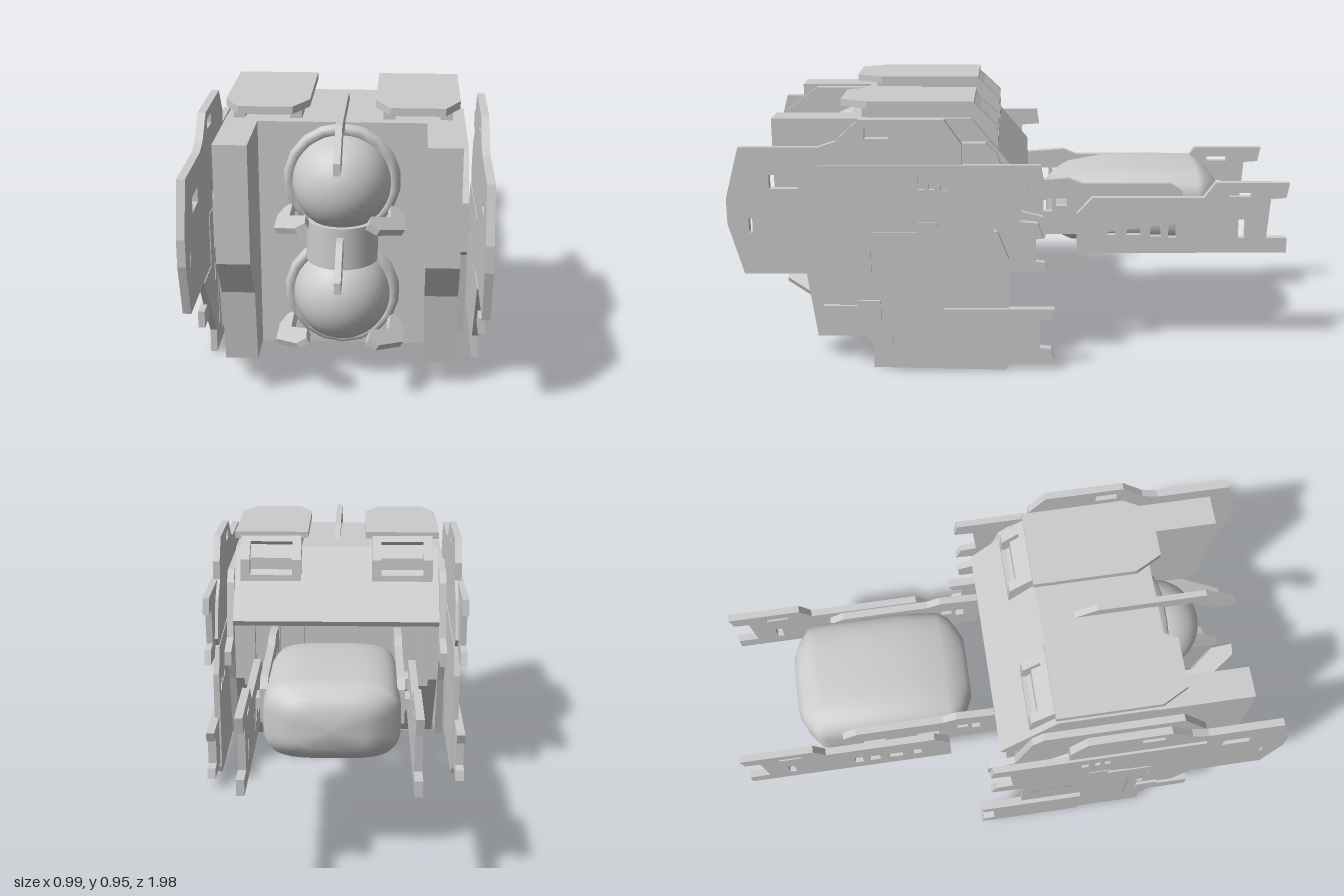
import * as THREE from 'three';

const mat = new THREE.MeshStandardMaterial({ color: 0xcccccc });

function add(parent, name, geo) {
  const m = new THREE.Mesh(geo, mat);
  m.name = name;
  parent.add(m);
  return m;
}

// Shape drawn in (z, y) and extruded along x between x0 and x1; holes are [z, y, width, height]
function slab(points, x0, x1, holes = []) {
  const shape = new THREE.Shape(points.map(([z, y]) => new THREE.Vector2(z, y)));
  for (const [z, y, w, h] of holes) {
    const a = w / 2, b = h / 2;
    shape.holes.push(new THREE.Path([[z - a, y - b], [z - a, y + b], [z + a, y + b], [z + a, y - b]]
      .map(([u, v]) => new THREE.Vector2(u, v))));
  }
  return new THREE.ExtrudeGeometry(shape, { depth: x1 - x0, bevelEnabled: false })
    .rotateY(-Math.PI / 2).translate(x1, 0, 0);
}

// The same slab on both sides of the model
function pair(parent, name, points, x0, x1, holes) {
  add(parent, name + 'Left', slab(points, x0, x1, holes));
  add(parent, name + 'Right', slab(points, -x1, -x0, holes));
}

function box(x0, x1, y0, y1, z0, z1) {
  return new THREE.BoxGeometry(x1 - x0, y1 - y0, z1 - z0)
    .translate((x0 + x1) / 2, (y0 + y1) / 2, (z0 + z1) / 2);
}

function boxPair(parent, name, x0, x1, ...rest) {
  add(parent, name + 'Left', box(x0, x1, ...rest));
  add(parent, name + 'Right', box(-x1, -x0, ...rest));
}

// Rounded body lofted along -z from sections [z, halfWidth, yLow, yHigh]
function loft(sections, n = 48, power = 0.55) {
  const pos = [], idx = [];
  const bend = v => Math.sign(v) * Math.abs(v) ** power;
  sections.forEach(([z, hw, lo, hi], i) => {
    for (let j = 0; j < n; j++) {
      const t = j / n * Math.PI * 2;
      pos.push(hw * bend(Math.cos(t)), (lo + hi) / 2 + (hi - lo) / 2 * bend(Math.sin(t)), z);
      if (i === 0) continue;
      const k = (j + 1) % n, a = (i - 1) * n + j, b = (i - 1) * n + k, c = i * n + j, d = i * n + k;
      idx.push(a, c, b, b, c, d);
    }
  });
  const g = new THREE.BufferGeometry();
  g.setAttribute('position', new THREE.Float32BufferAttribute(pos, 3));
  g.setIndex(idx);
  g.computeVertexNormals();
  return g;
}

function buildHull(root) {
  const hull = new THREE.Group();
  hull.name = 'hull';
  root.add(hull);
  add(hull, 'mainBody', slab([[0.57, 0.9], [0.15, 0.9], [-0.05, 0.66], [-0.04, 0.64], [0.01, 0.64],
    [0.01, 0.41], [0.26, 0.1], [0.57, 0.1]], -0.388, 0.388));
  add(hull, 'bellyPlate', box(-0.35, 0.35, 0.09, 0.11, 0.27, 0.55));
  pair(hull, 'frontColumn', [[0.84, 0.9], [0.84, 0.5], [0.745, 0.36], [0.71, 0.1], [0.5, 0.1], [0.5, 0.9]], 0.28, 0.39);
  // Cooling ribs following the bent rear face
  const ribs = 8;
  for (let i = 0; i < ribs; i++) {
    const x = -0.33 + 0.66 * i / (ribs - 1);
    add(hull, 'rearRib', slab([[-0.02, 0.65], [-0.02, 0.395], [0.235, 0.09], [0.3, 0.09], [0.05, 0.42], [0.05, 0.65]],
      x - 0.022, x + 0.022));
  }
}

function buildRoofPods(root) {
  for (const s of [-1, 1]) {
    const pod = new THREE.Group();
    pod.name = s > 0 ? 'roofPodLeft' : 'roofPodRight';
    pod.position.x = s * 0.25;
    root.add(pod);
    // Roof plate with chamfered front corners
    const plan = [[-0.14, -0.14], [0.14, -0.14], [0.14, -0.51], [0.09, -0.605], [-0.09, -0.605], [-0.14, -0.51]];
    add(pod, 'roofPlate', new THREE.ExtrudeGeometry(
      new THREE.Shape(plan.map(([x, z]) => new THREE.Vector2(x, z)).reverse().map(p => p.setY(-p.y))),
      { depth: 0.025, bevelEnabled: false }).rotateX(Math.PI / 2).translate(0, 0.96, 0));
    for (const x of [-0.095, 0.095]) add(pod, 'baseRail', box(x - 0.02, x + 0.02, 0.88, 0.937, 0.15, 0.53));
    add(pod, 'baseCore', box(-0.08, 0.08, 0.88, 0.937, 0.15, 0.49));
    add(pod, 'louvre', box(-0.08, 0.08, 0.912, 0.92, 0.48, 0.505));
    // Rear window: cheeks and bars around a recessed pane
    const outer = [[0.16, 0.95], [0.145, 0.95], [0.06, 0.87], [0.055, 0.76], [0.16, 0.76]];
    for (const x of [-0.115, 0.08]) add(pod, 'windowCheek', slab(outer, x, x + 0.035));
    add(pod, 'windowPane', slab([[0.17, 0.94], [0.16, 0.93], [0.09, 0.87], [0.085, 0.76], [0.17, 0.76]], -0.08, 0.08));
    add(pod, 'windowSill', slab([[0.1, 0.81], [0.058, 0.81], [0.055, 0.76], [0.1, 0.76]], -0.08, 0.08));
    add(pod, 'windowHeader', slab([[0.18, 0.95], [0.145, 0.95], [0.12, 0.927], [0.15, 0.9]], -0.08, 0.08));
  }
}

function buildFrontOrbs(root) {
  for (const y of [0.7, 0.3]) {
    const orb = new THREE.Group();
    orb.name = y > 0.5 ? 'upperOrb' : 'lowerOrb';
    orb.position.set(0, y, 0);
    root.add(orb);
    add(orb, 'orbSphere', new THREE.SphereGeometry(0.166, 40, 28).translate(0, 0, 0.575));
    const profile = [[0.17, 0.4], [0.2, 0.48], [0.205, 0.55], [0.19, 0.59], [0.166, 0.6], [0.15, 0.57]]
      .map(([r, z]) => new THREE.Vector2(r, z));
    add(orb, 'orbCollar', new THREE.LatheGeometry(profile, 18).rotateX(Math.PI / 2).scale(1, 1, 1));
    // Three hooked claws around each sphere
    for (let i = 0; i < 3; i++) {
      const back = i === 0 && y > 0.5 ? 0.27 : 0.54;
      add(orb, 'claw', slab([[back, 0.2], [back + 0.08, 0.24], [0.74, 0.24], [0.86, 0.15], [0.86, 0.11],
        [0.785, 0.115], [0.7, 0.185], [0.58, 0.185]], -0.011, 0.011)).rotation.z = i * Math.PI * 2 / 3;
    }
  }
  add(root, 'orbConnector', new THREE.CylinderGeometry(0.122, 0.122, 0.146, 32).translate(0, 0.498, 0.575));
}

function buildSideArmour(root) {
  const g = new THREE.Group();
  g.name = 'sideArmour';
  root.add(g);
  pair(g, 'innerPlate', [[0.6, 0.82], [0.7, 0.67], [0.7, 0.5], [0.65, 0.47], [0.6, 0.165], [0.55, 0.14], [0.12, 0.14],
    [0.04, 0.4], [0, 0.5], [-0.1, 0.5], [-0.1, 0.555], [0, 0.58], [0.06, 0.78], [0.1, 0.82]], 0.392, 0.418,
  [[0.5, 0.6, 0.05, 0.06], [0.35, 0.6, 0.1, 0.04], [0.4, 0.33, 0.06, 0.05], [0.25, 0.33, 0.05, 0.08]]);
  pair(g, 'upperPlate', [[0.99, 0.64], [0.94, 0.82], [0.67, 0.82], [0.61, 0.84], [0.53, 0.915], [0.24, 0.915],
    [0.18, 0.83], [0.18, 0.76], [0.1, 0.7], [0.04, 0.56], [0.1, 0.5], [0.25, 0.5], [0.3, 0.54], [0.5, 0.52],
    [0.5, 0.37], [0.94, 0.37], [0.99, 0.55]], 0.458, 0.485,
  [[0.79, 0.7, 0.1, 0.05], [0.91, 0.545, 0.012, 0.05], [0.47, 0.868, 0.08, 0.035]]);
  pair(g, 'lowerPlate', [[0.7, 0.37], [0.5, 0.1], [0.5, 0.015], [0.03, 0.005], [0.02, 0.03], [0.02, 0.42], [0.06, 0.52],
    [0.55, 0.56], [0.55, 0.37]], 0.455, 0.478,
  [[0.43, 0.23, 0.01, 0.27], [0.48, 0.32, 0.02, 0.07], [0.2, 0.36, 0.03, 0.03], [0.14, 0.36, 0.04, 0.02],
    [0.08, 0.36, 0.03, 0.05]]);
  // Raised outer layers with forked tails
  pair(g, 'upperOverlay', [[0.67, 0.76], [-0.09, 0.76], [-0.1, 0.7], [-0.03, 0.695], [-0.02, 0.56], [-0.08, 0.555],
    [-0.1, 0.5], [0.02, 0.49], [0.08, 0.55], [0.2, 0.59], [0.67, 0.59]], 0.47, 0.494,
  [[0.32, 0.7, 0.02, 0.05], [0.285, 0.7, 0.02, 0.05], [0.24, 0.695, 0.025, 0.05]]);
  pair(g, 'lowerOverlay', [[0.25, 0.24], [-0.14, 0.24], [-0.125, 0.2], [-0.09, 0.2], [-0.09, 0.095], [-0.13, 0.09],
    [-0.14, 0.05], [0.25, 0.055]], 0.462, 0.494);
  // Small raised details
  for (const [z, y, w, h] of [[0.57, 0.22, 0.2, 0.06], [0.51, 0.23, 0.08, 0.08], [0.4, 0.5, 0.2, 0.04], [0.3, 0.53, 0.07, 0.05]])
    boxPair(g, 'surfaceDetail', 0.465, 0.488, y - h / 2, y + h / 2, z - w / 2, z + w / 2);
}

function buildTail(root) {
  const g = new THREE.Group();
  g.name = 'tail';
  root.add(g);
  add(g, 'tailPod', loft([[-0.12, 0, 0.51, 0.51], [-0.121, 0.11, 0.44, 0.57], [-0.14, 0.15, 0.425, 0.59], [-0.17, 0.2, 0.4, 0.61],
    [-0.21, 0.222, 0.385, 0.63], [-0.35, 0.228, 0.38, 0.658], [-0.5, 0.229, 0.38, 0.66], [-0.67, 0.229, 0.382, 0.66],
    [-0.7, 0.22, 0.39, 0.645], [-0.74, 0.17, 0.42, 0.615], [-0.764, 0.115, 0.45, 0.58], [-0.766, 0, 0.51, 0.51]]));
  pair(g, 'innerArm', [[0.05, 0.56], [-0.02, 0.57], [-0.05, 0.64], [-0.19, 0.65], [-0.24, 0.63], [-0.56, 0.63], [-0.61, 0.6],
    [-0.61, 0.48], [-0.28, 0.44], [-0.06, 0.44], [-0.05, 0.49], [0.05, 0.5]], 0.216, 0.243,
  [[-0.12, 0.55, 0.03, 0.05], [-0.17, 0.56, 0.04, 0.03]]);
  pair(g, 'outerArm', [[-0.225, 0.38], [-0.225, 0.53], [-0.28, 0.59], [-0.68, 0.59], [-0.72, 0.645], [-0.985, 0.645],
    [-0.975, 0.59], [-0.92, 0.585], [-0.91, 0.44], [-0.985, 0.44], [-0.985, 0.385]], 0.264, 0.29,
  [[-0.35, 0.475, 0.03, 0.05], [-0.43, 0.47, 0.05, 0.04], [-0.51, 0.47, 0.04, 0.05], [-0.57, 0.47, 0.03, 0.06],
    [-0.82, 0.475, 0.025, 0.07], [-0.81, 0.6, 0.08, 0.015]]);
  // Spacers joining the arms and the pod
  for (const z of [-0.3, -0.5]) boxPair(g, 'armSpacer', 0.2, 0.27, 0.5, 0.54, z - 0.04, z + 0.04);
}

export function createModel() {
  const root = new THREE.Group();
  root.name = 'spacecraft';
  buildHull(root);
  buildRoofPods(root);
  buildFrontOrbs(root);
  buildSideArmour(root);
  buildTail(root);
  return root;
}
